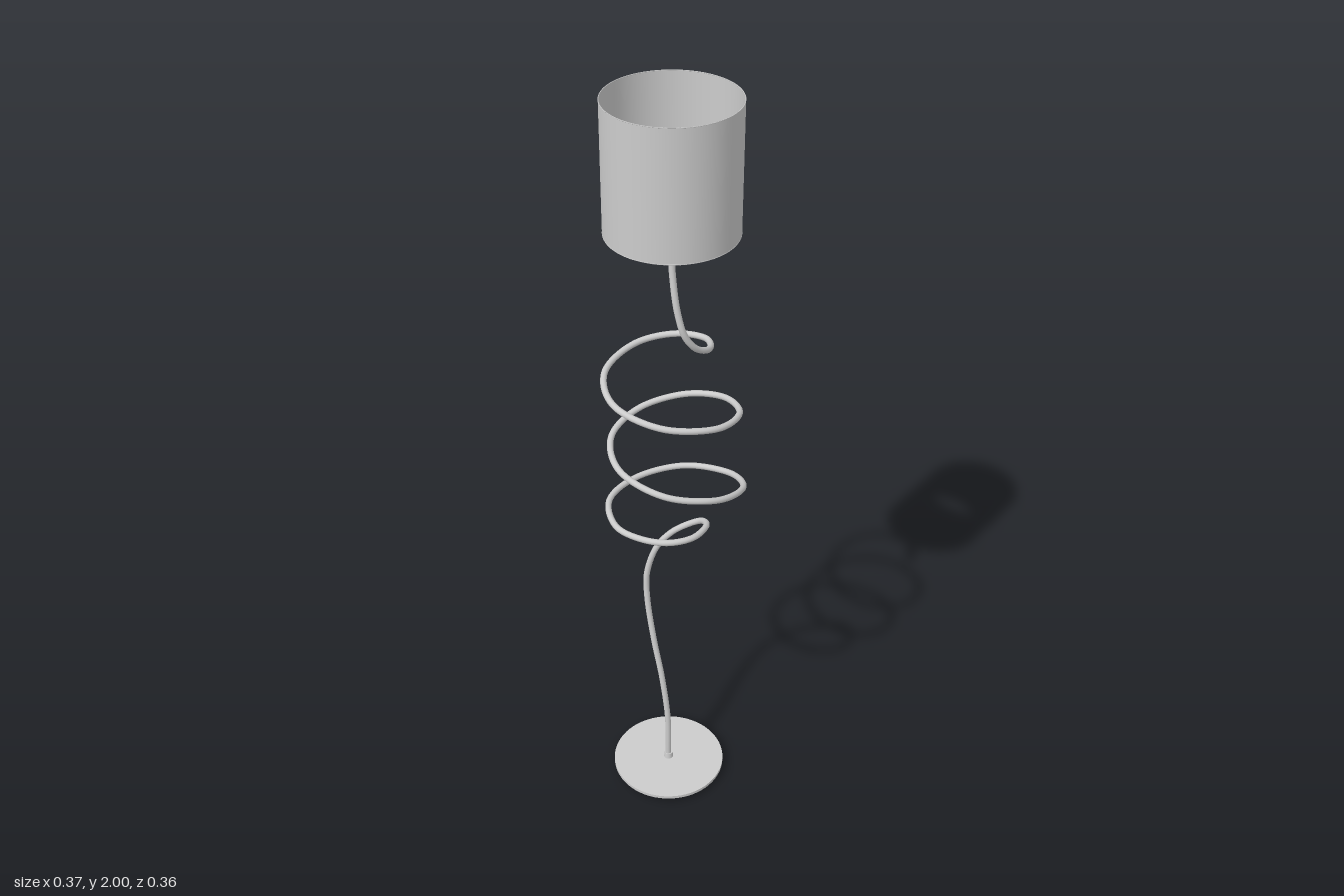
import * as THREE from 'three';

const material = new THREE.MeshStandardMaterial({ color: 0xcccccc });
const thinMaterial = new THREE.MeshStandardMaterial({ color: 0xcccccc, side: THREE.DoubleSide });

function add(parent, name, geometry, x = 0, y = 0, z = 0, mat = material) {
  const mesh = new THREE.Mesh(geometry, mat);
  mesh.name = name;
  mesh.position.set(x, y, z);
  parent.add(mesh);
  return mesh;
}

export function createModel() {
  const lamp = new THREE.Group();
  lamp.name = 'spiralFloorLamp';

  // Base: wide plate on a slightly smaller foot, with a collar for the stem
  const base = new THREE.Group();
  base.name = 'base';
  base.position.set(-0.03, 0, 0.015);
  add(base, 'foot', new THREE.CylinderGeometry(0.138, 0.138, 0.016, 64), 0, 0.008, 0);
  add(base, 'plate', new THREE.CylinderGeometry(0.155, 0.155, 0.009, 64), 0, 0.0195, 0);
  add(base, 'collar', new THREE.CylinderGeometry(0.011, 0.013, 0.016, 24), 0, 0.032, 0);
  lamp.add(base);

  // Stem: rises with a lean, winds through the coil, then returns to the centre
  const path = [
    [-0.031, 0.02, 0.015], [-0.032, 0.18, 0.014], [-0.037, 0.32, -0.005],
    [-0.043, 0.45, -0.035], [-0.045, 0.58, -0.06], [-0.041, 0.66, -0.066],
    [-0.02, 0.75, -0.05], [0.01, 0.805, -0.022], [0.042, 0.845, 0.018],
    [0.052, 0.868, 0.05], [0.03, 0.892, 0.097], [-0.04, 0.906, 0.13],
    [-0.105, 0.91, 0.112], [-0.152, 0.911, 0.055], [-0.168, 0.91, -0.015],
    [-0.115, 0.906, -0.122], [0, 0.903, -0.163], [0.12, 0.912, -0.122],
    [0.175, 0.938, 0], [0.125, 0.985, 0.122], [0, 1.03, 0.17],
    [-0.118, 1.063, 0.118], [-0.164, 1.09, 0], [-0.112, 1.109, -0.11],
    [0, 1.127, -0.15], [0.107, 1.15, -0.107], [0.151, 1.182, 0],
    [0.112, 1.212, 0.115], [0, 1.24, 0.168], [-0.122, 1.262, 0.118],
    [-0.174, 1.282, 0], [-0.115, 1.293, -0.125], [0.01, 1.305, -0.172],
    [0.1, 1.317, -0.135], [0.135, 1.33, -0.06], [0.117, 1.341, -0.01],
    [0.08, 1.356, 0.024], [0.037, 1.382, 0.036], [0.006, 1.425, 0.034],
    [-0.007, 1.49, 0.022], [-0.009, 1.58, 0.006], [-0.008, 1.66, -0.002],
    [-0.008, 1.74, -0.003],
  ].map((p) => new THREE.Vector3(...p));
  const curve = new THREE.CatmullRomCurve3(path, false, 'centripetal');
  add(lamp, 'stem', new THREE.TubeGeometry(curve, 500, 0.008, 14));

  // Head: open drum shade carried by four spokes
  const head = new THREE.Group();
  head.name = 'head';
  head.position.set(-0.005, 0, -0.001);
  add(head, 'shade', new THREE.CylinderGeometry(0.157, 0.157, 0.315, 64, 1, true), 0, 1.8425, 0, thinMaterial);
  for (const y of [1.686, 1.999]) {
    const rim = new THREE.TorusGeometry(0.1565, 0.001, 6, 64).rotateX(Math.PI / 2);
    add(head, 'shadeRim', rim, 0, y, 0);
  }
  for (let i = 0; i < 4; i++) {
    const spoke = new THREE.CylinderGeometry(0.0018, 0.0018, 0.155, 8)
      .rotateZ(Math.PI / 2).translate(0.0785, 0, 0);
    add(head, 'spoke', spoke, 0, 1.696, 0).rotation.y = -0.25 + i * Math.PI / 2;
  }

  // Holder and round bulb at the end of the stem
  add(head, 'hub', new THREE.CylinderGeometry(0.024, 0.024, 0.008, 32), -0.003, 1.696, -0.002);
  add(head, 'socket', new THREE.CylinderGeometry(0.013, 0.015, 0.04, 24), -0.003, 1.718, -0.002);
  add(head, 'bulb', new THREE.SphereGeometry(0.023, 32, 20), -0.003, 1.75, -0.002);
  lamp.add(head);

  return lamp;
}
